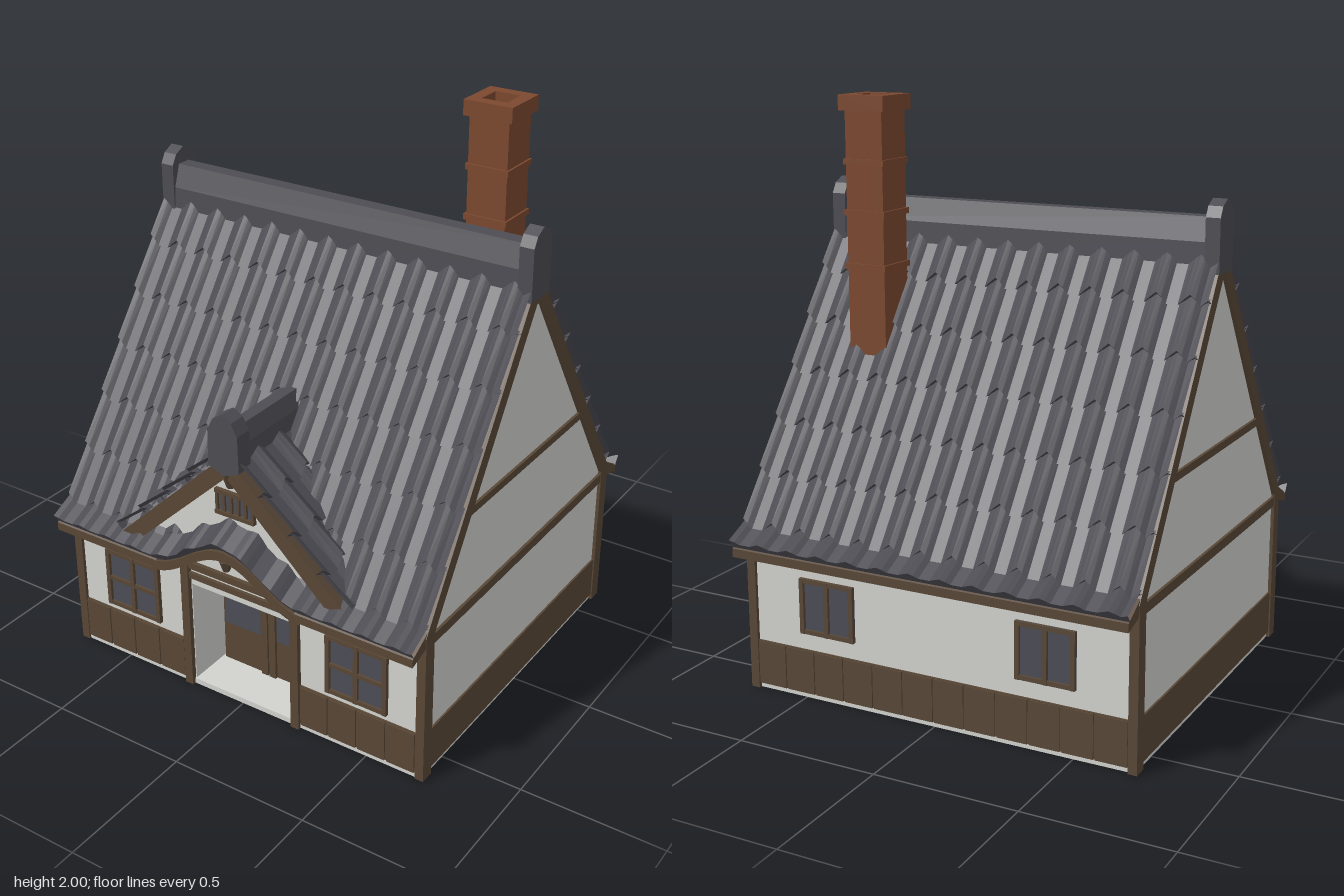
import * as THREE from 'three';

const mat = (name, color, side = THREE.FrontSide) => {
  const m = new THREE.MeshStandardMaterial({ color, side, flatShading: true });
  m.name = name;
  return m;
};

export function createModel() {
  const house = new THREE.Group();
  house.name = 'cottage';
  const plaster = mat('plaster', 0xd2d2ce);
  const wood = mat('timber', 0x584736);
  const slate = mat('slate', 0x4d4c53, THREE.DoubleSide);
  const brick = mat('brick', 0x7b482f);
  const glass = mat('dark glass', 0x4b4c56);

  const add = (name, geo, material) => {
    const m = new THREE.Mesh(geo, material);
    m.name = name;
    house.add(m);
    return m;
  };
  // box given by its limits
  const box = (name, material, x0, x1, y0, y1, z0, z1) =>
    add(name, new THREE.BoxGeometry(Math.abs(x1 - x0), y1 - y0, Math.abs(z1 - z0))
      .translate((x0 + x1) / 2, (y0 + y1) / 2, (z0 + z1) / 2), material);
  // outline in x,y pushed along z
  const slabZ = (name, material, pts, z0, z1) =>
    add(name, new THREE.ExtrudeGeometry(new THREE.Shape(pts.map(p => new THREE.Vector2(p[0], p[1]))),
      { depth: z1 - z0, bevelEnabled: false }).translate(0, 0, z0), material);
  // outline in z,y pushed along x
  const slabX = (name, material, pts, x0, x1) =>
    add(name, new THREE.ExtrudeGeometry(new THREE.Shape(pts.map(p => new THREE.Vector2(-p[0], p[1]))),
      { depth: x1 - x0, bevelEnabled: false }).rotateY(Math.PI / 2).translate(x0, 0, 0), material);
  const mirrored = half => [...half, ...half.slice().reverse().filter(p => p[0] !== 0).map(p => [-p[0], p[1]])];

  // eyebrow swell of the front eave over the door
  const swell = x => Math.abs(x) < 0.3 ? 0.13 * Math.cos(Math.PI * x / 0.6) ** 2 : 0;

  // overlapping rows of pantiles, running down a path of [z, y] points
  const tiles = (x0, x1, path, lift = () => 0) => {
    const T = [0, 0.15, 0.3, 0.65, 0.85], W = [1, 0.6, 0, 0, 0.6], period = 0.1152;
    const cols = [];
    for (let k = 0; x0 + k * period < x1 + period; k++)
      T.forEach((t, i) => {
        const x = x0 + (k + t) * period;
        if (x < x1 - 0.002) cols.push([x, W[i]]);
      });
    cols.push([x1, 0.6]);
    const pos = [];
    const quad = (a, b, c, d) => pos.push(...d, ...c, ...b, ...d, ...b, ...a);
    for (let r = 0; r < path.length - 1; r++) {
      const [za, ya] = path[r], [zb, yb] = path[r + 1];
      const len = Math.hypot(zb - za, yb - ya);
      const dz = (zb - za) / len, dy = (yb - ya) / len;
      const last = r === path.length - 2;
      const at = (x, z, y, off, along) =>
        [x, y + dz * off + dy * along + (last ? lift(x) : 0), z - dy * off + dz * along];
      const rows = cols.map(([x, w]) => {
        const ext = last ? 0 : 0.03 * (1 - w);
        return [at(x, za, ya, 0.018 * w, 0), at(x, zb, yb, 0.016 + 0.018 * w, ext),
          at(x, zb, yb, -0.006, ext * 0.6)];
      });
      for (let i = 0; i < rows.length - 1; i++)
        for (let j = 0; j < 2; j++) quad(rows[i][j], rows[i + 1][j], rows[i + 1][j + 1], rows[i][j + 1]);
    }
    const g = new THREE.BufferGeometry();
    g.setAttribute('position', new THREE.Float32BufferAttribute(pos, 3));
    g.computeVertexNormals();
    return g;
  };

  // plaster walls, with a recess for the door
  box('floor', plaster, -0.71, 0.71, 0, 0.02, -0.63, 0.635);
  box('rearWalls', plaster, -0.71, 0.71, 0.02, 0.5, -0.63, 0.46);
  slabX('gableWalls', plaster, mirrored([[0.63, 0.5], [0.62, 0.56], [0, 1.51]]), -0.71, 0.71);
  box('doorLintelWall', plaster, -0.21, 0.21, 0.41, 0.61, 0.56, 0.63);

  for (const s of [-1, 1]) {
    box('frontWall', plaster, s * 0.205, s * 0.71, 0.02, 0.5, 0.46, 0.63);
    // gable timbers
    for (const f of [-1, 1]) {
      box('cornerPost', wood, s * 0.69, s * 0.722, 0, 0.53, f * 0.592, f * 0.642);
      slabX('gableRafter', wood, f > 0
        ? [[0, 1.46], [0.59, 0.555], [0.592, 0.52], [0.642, 0.52], [0.645, 0.555], [0, 1.55]]
        : [[0, 1.55], [-0.645, 0.555], [-0.642, 0.52], [-0.592, 0.52], [-0.59, 0.555], [0, 1.46]],
        s > 0 ? 0.7 : -0.722, s > 0 ? 0.722 : -0.7);
    }
    box('sideBeam', wood, s * 0.7, s * 0.72, 0.51, 0.545, -0.62, 0.62);
    box('collarBeam', wood, s * 0.7, s * 0.72, 0.865, 0.892, -0.4, 0.4);
    box('sidePlinth', wood, s * 0.7, s * 0.717, 0.02, 0.175, -0.6, 0.6);
    slabX('gableTopBlock', wood, [[0.04, 1.44], [0.04, 1.5], [-0.04, 1.5], [-0.04, 1.44]],
      s > 0 ? 0.7 : -0.72, s > 0 ? 0.72 : -0.7);

    // porch posts and front timbers
    box('porchPost', wood, s * 0.208, s * 0.24, 0, 0.52, 0.61, 0.648);
    box('frontPlinth', wood, s * 0.24, s * 0.69, 0.02, 0.175, 0.62, 0.637);
    for (let i = 0; i < 4; i++)
      box('frontPlank', wood, s * (0.246 + i * 0.112), s * (0.35 + i * 0.112), 0.02, 0.172, 0.63, 0.642);

    // front window
    const a = s * 0.345, b = s * 0.58, t = s * 0.016;
    box('frontGlass', glass, a, b, 0.2, 0.425, 0.625, 0.634);
    for (const x of [a, (a + b - t) / 2, b - t]) box('windowUpright', wood, x, x + t, 0.2, 0.425, 0.63, 0.645);
    for (const y of [0.2, 0.305, 0.41]) box('windowRail', wood, a, b, y, y + 0.015, 0.63, 0.643);

    // back window
    const c = s * 0.3, d = s * 0.51;
    box('backGlass', glass, c, d, 0.235, 0.43, -0.634, -0.625);
    for (const x of [c, (c + d - t) / 2, d - t]) box('windowUpright', wood, x, x + t, 0.235, 0.43, -0.645, -0.63);
    for (const y of [0.235, 0.415]) box('windowRail', wood, c, d, y, y + 0.015, -0.643, -0.63);

    // door leaf with glazed upper half
    box('doorLeaf', wood, s * 0.003, s * 0.195, 0.02, 0.4, 0.46, 0.475);
    box('doorGlass', glass, s * 0.034, s * 0.185, 0.175, 0.39, 0.47, 0.479);
    box('doorStile', wood, s * 0.003, s * 0.03, 0.02, 0.4, 0.47, 0.485);
  }
  box('backPlinth', wood, -0.69, 0.69, 0.02, 0.175, -0.637, -0.62);
  for (let i = 0; i < 12; i++)
    box('backPlank', wood, -0.688 + i * 0.115, -0.58 + i * 0.115, 0.02, 0.172, -0.642, -0.63);
  box('porchBeam', wood, -0.21, 0.21, 0.44, 0.462, 0.615, 0.642);
  box('porchUpperBeam', wood, -0.21, 0.21, 0.48, 0.505, 0.615, 0.645);

  // main roof
  const path = [];
  for (let i = 0; i <= 6; i++) {
    const z = 0.012 + i * 0.102;
    path.push([z, 1.565 - 1.56 * z]);
  }
  path.push([0.715, 0.53]);
  add('frontRoofTiles', tiles(-0.722, 0.722, path, swell), slate);
  add('backRoofTiles', tiles(-0.722, 0.722, path).rotateY(Math.PI), slate);
  const eave = [[0.6, 0.53], [0.72, 0.495], [0.72, 0.525], [0.62, 0.58]];
  slabX('backEave', wood, eave.map(p => [-p[0], p[1]]).reverse(), -0.72, 0.72);
  slabX('frontEaveRight', wood, eave, -0.72, -0.28);
  slabX('frontEaveLeft', wood, eave, 0.28, 0.72);

  // curved timber under the swelling eave
  const top = [], bottom = [];
  for (let i = 0; i <= 24; i++) {
    const x = -0.3 + i * 0.025;
    top.push([x, 0.523 + swell(x)]);
    bottom.unshift([x, 0.488 + swell(x)]);
  }
  slabZ('eyebrowTimber', wood, [...bottom.reverse(), ...top.reverse()], 0.62, 0.72);
  add('eyebrowBoss', new THREE.CylinderGeometry(0.025, 0.012, 0.04, 6).translate(0, 0.595, 0.7), wood);

  // ridge and its end caps
  slabX('ridge', slate, mirrored([[0.058, 1.46], [0.052, 1.56], [0.026, 1.638]]), -0.685, 0.685);
  const cap = mirrored([[0.06, 1.46], [0.06, 1.64], [0.04, 1.675], [0, 1.695]]);
  slabX('ridgeEndRight', slate, cap, -0.725, -0.675);
  slabX('ridgeEndLeft', slate, cap, 0.675, 0.725);

  // dormer over the porch
  slabZ('dormerWall', plaster, [[-0.4, 0.55], [0.4, 0.55], [0, 0.95]], 0.35, 0.635);
  const dormerPath = [0, 1, 2, 3, 4].map(i => [0.02 + i * 0.109, 0.992 - i * 0.104]);
  add('dormerTilesLeft', tiles(-0.688, -0.25, dormerPath).rotateY(Math.PI / 2), slate);
  add('dormerTilesRight', tiles(0.25, 0.688, dormerPath).rotateY(-Math.PI / 2), slate);
  slabZ('dormerVerge', wood,
    [[0, 0.915], [-0.372, 0.565], [-0.452, 0.565], [0, 0.995], [0.452, 0.565], [0.372, 0.565]], 0.61, 0.685);
  add('dormerBoss', new THREE.CylinderGeometry(0.035, 0.015, 0.06, 6).translate(0, 0.9, 0.66), wood);
  slabZ('dormerRidge', slate, mirrored([[0.048, 0.95], [0.045, 1.03], [0.022, 1.085]]), 0.3, 0.64);
  slabZ('dormerRidgeEnd', slate,
    mirrored([[0, 0.925], [0.06, 0.95], [0.058, 1.08], [0.035, 1.122], [0, 1.143]]), 0.632, 0.695);

  // attic vent
  box('ventOpening', glass, -0.075, 0.075, 0.745, 0.835, 0.63, 0.639);
  for (const y of [0.743, 0.822]) box('ventRail', wood, -0.078, 0.078, y, y + 0.014, 0.633, 0.65);
  for (let i = 0; i < 6; i++) {
    const x = -0.072 + i * 0.0288;
    box('ventBar', wood, x - 0.005, x + 0.005, 0.745, 0.835, 0.633, 0.647);
  }

  // chimney
  box('chimneyShaft', brick, 0.372, 0.514, 1.04, 1.955, -0.29, -0.145);
  for (const y of [1.42, 1.6, 1.77])
    box('chimneyBand', brick, 0.365, 0.521, y, y + 0.02, -0.297, -0.138);
  const square = (C, h) => {
    const p = new C();
    p.moveTo(-h, -h).lineTo(h, -h).lineTo(h, h).lineTo(-h, h).closePath();
    return p;
  };
  const rim = square(THREE.Shape, 0.087);
  rim.holes.push(square(THREE.Path, 0.045));
  add('chimneyCap', new THREE.ExtrudeGeometry(rim, { depth: 0.052, bevelEnabled: false })
    .rotateX(-Math.PI / 2).translate(0.443, 1.948, -0.218), brick);

  return house;
}
